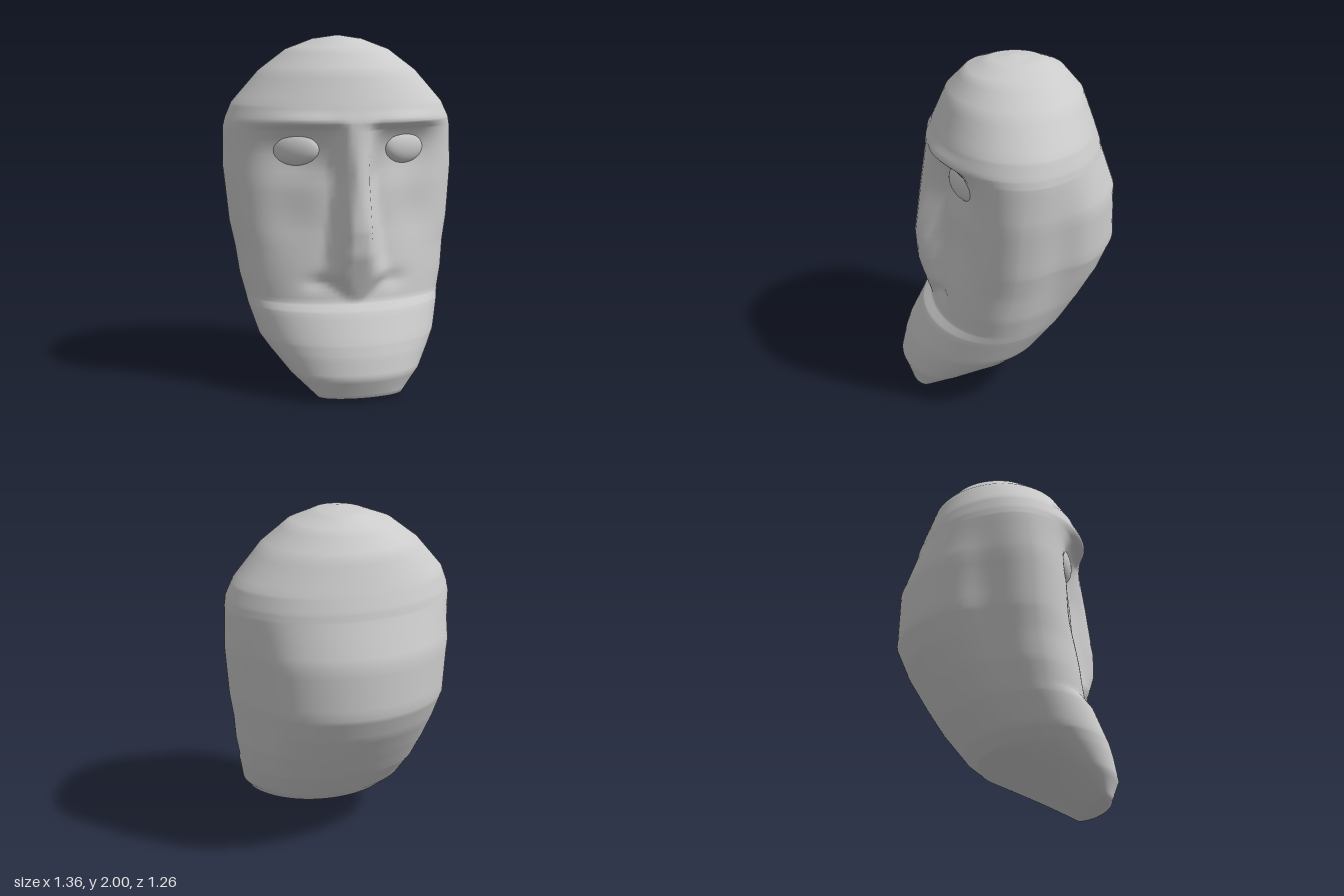
import * as THREE from 'three';

// Horizontal sections: y, half width, z of widest point, face z, midline z (with nose), back z
const SECTIONS = [
  [0, 0, 0.52, 0.52, 0.52, 0.52],
  [0.02, 0.24, 0.5, 0.59, 0.59, 0.45],
  [0.14, 0.37, 0.38, 0.635, 0.635, 0.18],
  [0.25, 0.46, 0.25, 0.61, 0.61, -0.14],
  [0.32, 0.51, 0.18, 0.585, 0.585, -0.22],
  [0.48, 0.56, 0.1, 0.5, 0.5, -0.355],
  [0.53, 0.57, 0.08, 0.44, 0.44, -0.39],
  [0.65, 0.6, 0.05, 0.42, 0.475, -0.47],
  [0.8, 0.62, 0.02, 0.4, 0.52, -0.565],
  [0.95, 0.65, 0, 0.38, 0.53, -0.63],
  [1.25, 0.678, -0.02, 0.36, 0.49, -0.62],
  [1.48, 0.672, -0.04, 0.41, 0.455, -0.54],
  [1.53, 0.66, -0.04, 0.435, 0.445, -0.53],
  [1.62, 0.62, -0.05, 0.415, 0.415, -0.5],
  [1.8, 0.46, -0.05, 0.34, 0.34, -0.435],
  [1.92, 0.3, -0.05, 0.235, 0.235, -0.335],
  [1.98, 0.14, -0.05, 0.11, 0.11, -0.21],
  [2, 0, -0.03, -0.03, -0.03, -0.03],
];
// Half width of the nose, by height
const NOSE = [[0.55, 0.06], [0.68, 0.22], [0.78, 0.18], [1.2, 0.115], [1.5, 0.13]];
const STEPS = 5, SIDES = 128;

const { smoothstep, lerp, clamp } = THREE.MathUtils;
const bump = (x, y, cx, cy, rx, ry) => Math.exp(-(((x - cx) / rx) ** 2) - ((y - cy) / ry) ** 2);

function lookUp(table, y) {
  let i = 1;
  while (i < table.length - 1 && table[i][0] < y) i++;
  const a = table[i - 1], b = table[i];
  const t = clamp((y - a[0]) / (b[0] - a[0]), 0, 1);
  return a.map((v, k) => lerp(v, b[k], t));
}

function headPoint(y, angle) {
  const [, width, mid, face, ridge, back] = lookUp(SECTIONS, y);
  const c = Math.cos(angle);
  let x = width * Math.sin(angle);
  let z = mid + c * (c > 0 ? face - mid : mid - back);
  const ax = Math.abs(x);
  if (c > 0) {
    // nose ridge and nostril wings
    const w = lookUp(NOSE, y)[1];
    z += (ridge - face) * (1 - smoothstep(ax, w * 0.3, w));
    // eye sockets below an overhanging brow
    const socket = bump(ax, y, 0.32, 1.38, 0.2, 0.14) * (1 - smoothstep(y, 1.46, 1.53));
    z -= 0.07 * socket * smoothstep(ax, 0.05, 0.16);
    z += 0.025 * bump(ax, y, 0.28, 1.54, 0.22, 0.04);
    // hollow cheeks and folds beside the mouth
    z -= 0.03 * bump(ax, y, 0.36, 1.05, 0.15, 0.2);
    z -= 0.02 * bump(ax, y, 0.22, 0.64, 0.07, 0.04);
  } else {
    // shallow hollow behind the jaw and temples
    x *= 1 - 0.08 * bump(z, y, mid - 0.25, 0.95, 0.13, 0.5);
  }
  return [x, y, z];
}

function headGeometry() {
  const rings = (SECTIONS.length - 1) * STEPS;
  const positions = [], index = [];
  for (let i = 0; i <= rings; i++) {
    const row = Math.min(Math.floor(i / STEPS), SECTIONS.length - 2);
    const y = lerp(SECTIONS[row][0], SECTIONS[row + 1][0], i / STEPS - row);
    for (let j = 0; j < SIDES; j++) {
      positions.push(...headPoint(y, (j / SIDES) * Math.PI * 2));
      if (i === rings) continue;
      const a = i * SIDES + j, b = i * SIDES + ((j + 1) % SIDES);
      index.push(a, b, b + SIDES, a, b + SIDES, a + SIDES);
    }
  }
  const geometry = new THREE.BufferGeometry();
  geometry.setAttribute('position', new THREE.Float32BufferAttribute(positions, 3));
  geometry.setIndex(index);
  geometry.computeVertexNormals();
  return geometry;
}

export function createModel() {
  const group = new THREE.Group();
  group.name = 'head';
  const material = new THREE.MeshStandardMaterial({ color: 0xcccccc });

  const skull = new THREE.Mesh(headGeometry(), material);
  skull.name = 'skullAndFace';
  group.add(skull);

  // almond eyes, turned outward with the face
  const eyeShape = new THREE.SphereGeometry(1, 32, 20);
  for (const side of [1, -1]) {
    const eye = new THREE.Mesh(eyeShape, material);
    eye.name = side > 0 ? 'leftEye' : 'rightEye';
    eye.scale.set(0.15, 0.1, 0.06);
    eye.position.set(side * 0.32, 1.38, 0.25);
    eye.rotation.y = side * 0.5;
    group.add(eye);
  }
  return group;
}
